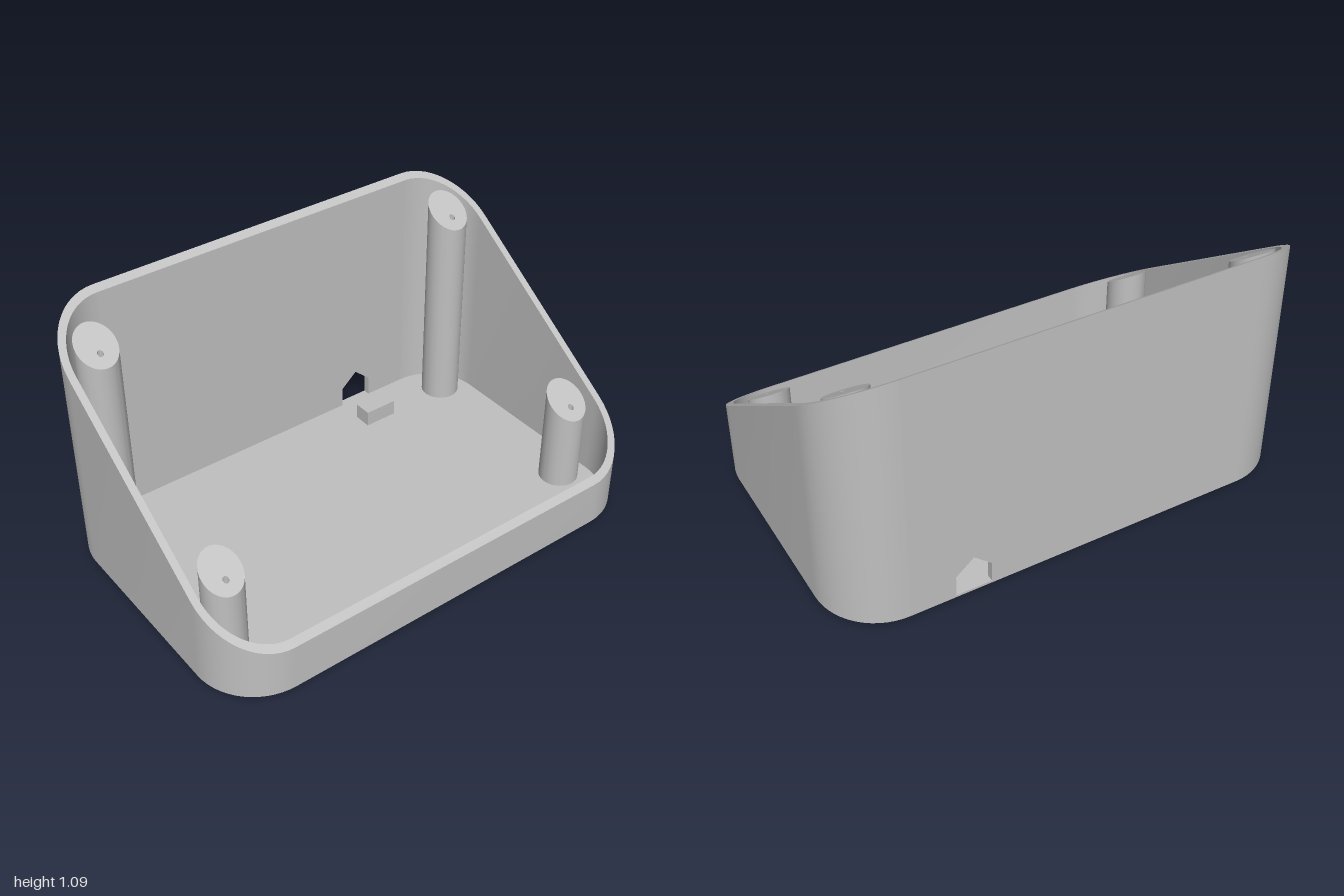
import * as THREE from 'three';
import { toCreasedNormals } from 'three/addons/utils/BufferGeometryUtils.js';

const HALF_X = 1, HALF_Z = 0.64, RADIUS = 0.26;
const WALL = 0.03, FLOOR_Y = 0.03, CHAMFER = 0.02;

// Height of the sloped top plane
const topY = (z) => 0.655 - 0.68 * z;

// Rounded rectangle in plan; starts and ends at the straight back edge
function outline(inset) {
  const points = [], steps = 14, r = RADIUS - inset;
  [[1, -1], [1, 1], [-1, 1], [-1, -1]].forEach(([sx, sz], corner) => {
    for (let i = 0; i <= steps; i++) {
      const a = (corner - 1 + i / steps) * Math.PI / 2;
      points.push(new THREE.Vector2(
        sx * (HALF_X - RADIUS) + r * Math.cos(a),
        sz * (HALF_Z - RADIUS) + r * Math.sin(a)));
    }
  });
  return points;
}

// Ring of 3D points at a constant or z-dependent height
const ring = (inset, height) => outline(inset).map((p) => new THREE.Vector3(p.x, height(p.y), p.y));

// Surface through successive rings
function loft(rings, closed) {
  const pts = [];
  for (let k = 0; k < rings.length - 1; k++) {
    const lo = rings[k], hi = rings[k + 1], n = lo.length;
    for (let i = 0; i < (closed ? n : n - 1); i++) {
      const j = (i + 1) % n;
      pts.push(lo[i], hi[i], lo[j], lo[j], hi[i], hi[j]);
    }
  }
  return toCreasedNormals(new THREE.BufferGeometry().setFromPoints(pts), 0.5);
}

export function createModel() {
  const group = new THREE.Group();
  const grey = new THREE.MeshStandardMaterial({ color: 0xc0c0c0 });
  grey.name = 'plainGrey';
  const add = (name, geometry) => {
    const mesh = new THREE.Mesh(geometry, grey);
    mesh.name = name;
    group.add(mesh);
    return mesh;
  };

  // Side and front walls with sloped rim
  add('walls', loft([
    ring(0, () => CHAMFER), ring(0, topY), ring(WALL, topY), ring(WALL, () => FLOOR_Y),
  ], false));

  // Chamfered foot, underside and inner floor
  add('bottomChamfer', loft([ring(CHAMFER, () => 0), ring(0, () => CHAMFER)], true));
  add('underside', new THREE.ShapeGeometry(new THREE.Shape(outline(CHAMFER))).rotateX(Math.PI / 2));
  add('floor', new THREE.ShapeGeometry(new THREE.Shape(outline(WALL)))
    .rotateX(-Math.PI / 2).translate(0, FLOOR_Y, 0));

  // Back wall with a gabled cable opening
  const w = HALF_X - RADIUS;
  const toPoints = (list) => list.map(([x, y]) => new THREE.Vector2(x, y));
  const backShape = new THREE.Shape(toPoints([[-w, CHAMFER], [w, CHAMFER], [w, 1.09], [-w, 1.09]]));
  backShape.holes.push(new THREE.Path(toPoints(
    [[0.4, FLOOR_Y], [0.4, 0.12], [0.475, 0.185], [0.55, 0.12], [0.55, FLOOR_Y]])));
  const back = new THREE.ExtrudeGeometry(backShape, { depth: WALL, bevelEnabled: false });
  back.translate(0, 0, -HALF_Z);
  slopeTop(back, 1);
  back.computeVertexNormals();
  add('backWall', back);

  // Screw posts cut by the sloped plane, each with a pilot hole
  for (const [z, end] of [[-0.45, 'rear'], [0.34, 'front']]) {
    for (const [side, label] of [[1, 'Left'], [-1, 'Right']]) {
      const shape = new THREE.Shape().absarc(0, 0, 0.083, 0, Math.PI * 2, false);
      shape.holes.push(new THREE.Path().absarc(0, -0.03, 0.012, 0, Math.PI * 2, true));
      const post = new THREE.ExtrudeGeometry(shape, { depth: 1, bevelEnabled: false, curveSegments: 28 });
      post.rotateX(-Math.PI / 2).translate(side * 0.845, FLOOR_Y, z);
      slopeTop(post, 0.5);
      add(end + label + 'Post', toCreasedNormals(post, 0.5));
    }
  }

  // Small stop block in front of the cable opening
  add('stopBlock', new THREE.BoxGeometry(0.15, 0.07, 0.08))
    .position.set(0.475, FLOOR_Y + 0.035, -0.46);

  return group;
}

// Move vertices above a level onto the sloped plane
function slopeTop(geometry, level) {
  const p = geometry.attributes.position;
  for (let i = 0; i < p.count; i++) {
    if (p.getY(i) > level) p.setY(i, topY(p.getZ(i)));
  }
}
